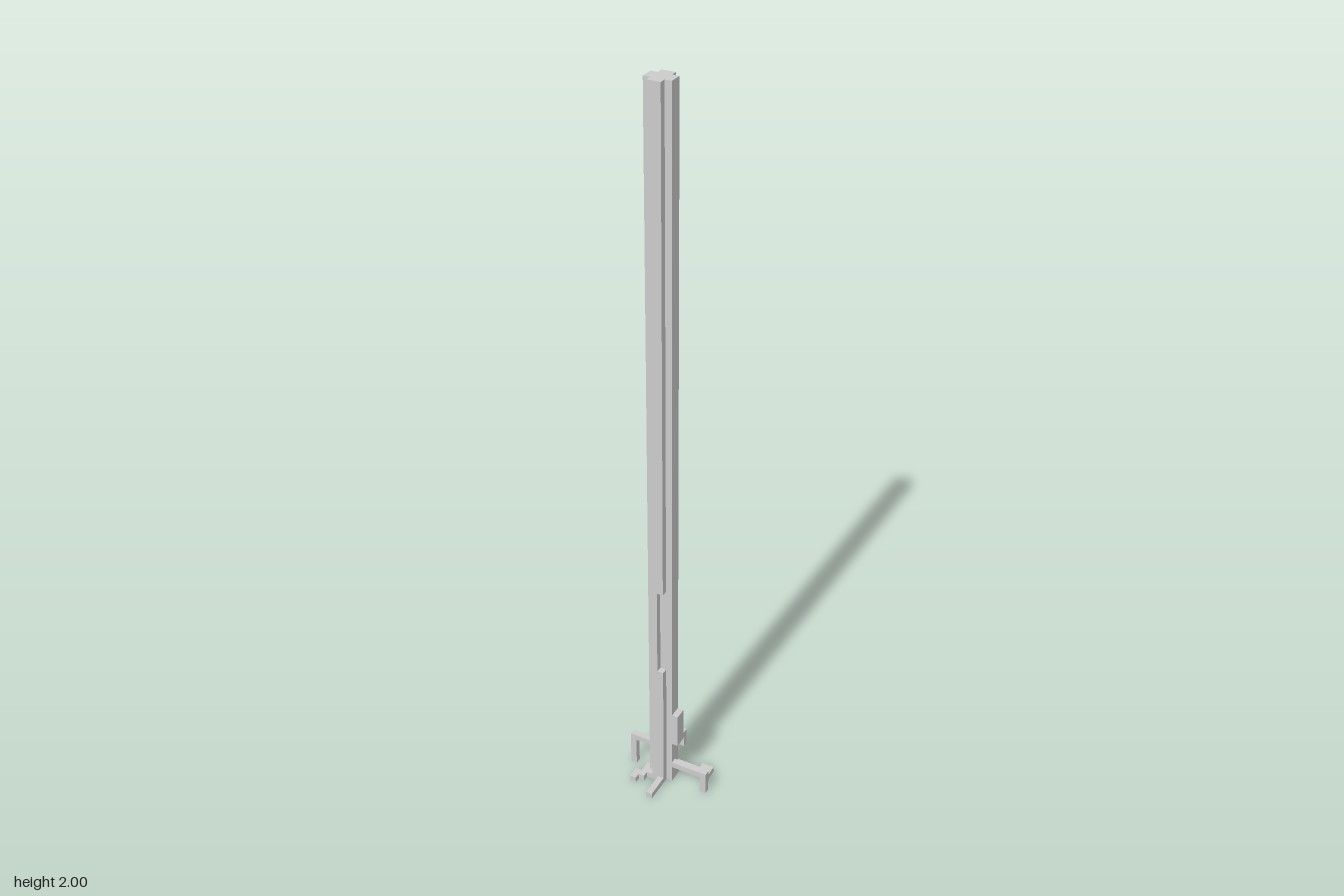
import * as THREE from 'three';

// Everything sits on a cubic grid: 116 cells make the full height.
const U = 2 / 116;

export function createModel() {
  const model = new THREE.Group();
  const material = new THREE.MeshStandardMaterial({ color: 0xcccccc, flatShading: true });

  // Box between two grid corners
  const block = (parent, name, [x0, x1], [y0, y1], [z0, z1]) => {
    const geometry = new THREE.BoxGeometry((x1 - x0) * U, (y1 - y0) * U, (z1 - z0) * U);
    const mesh = new THREE.Mesh(geometry, material);
    mesh.position.set((x0 + x1) / 2 * U, (y0 + y1) / 2 * U, (z0 + z1) / 2 * U);
    mesh.name = name;
    parent.add(mesh);
  };
  const group = (name) => {
    const g = new THREE.Group();
    g.name = name;
    model.add(g);
    return g;
  };

  // Trunk: plus-shaped column with a notch in its front ridge
  const trunk = group('trunk');
  block(trunk, 'trunkCore', [-3, 1], [0, 116], [0, 2]);
  block(trunk, 'backRidge', [-2, 0], [0, 116], [-1, 0]);
  block(trunk, 'frontRidge', [-2, -1], [0, 116], [2, 3]);
  block(trunk, 'frontRidgeLower', [-1, 0], [0, 23], [2, 3]);
  block(trunk, 'frontRidgeUpper', [-1, 0], [38, 116], [2, 3]);
  block(trunk, 'barkKnot', [1, 2], [8, 14], [0, 2]);

  // Arched roots: a level arm and a leg down to the ground
  const leftRoot = group('leftArchedRoot');
  block(leftRoot, 'arm', [1, 7], [3, 4], [1, 2]);
  block(leftRoot, 'leg', [6, 7], [0, 3], [1, 2]);

  const rightRoot = group('rightArchedRoot');
  block(rightRoot, 'arm', [-7, -3], [5, 6], [0, 1]);
  block(rightRoot, 'leg', [-7, -6], [0, 5], [0, 1]);

  const backRoot = group('backArchedRoot');
  block(backRoot, 'arm', [-2, -1], [2, 3], [-7, -1]);
  block(backRoot, 'leg', [-2, -1], [0, 2], [-7, -6]);

  // Flat roots lying on the ground, one cell high
  const flatRoots = group('flatRoots');
  const flat = [
    ['frontRoot', [-1, 0], [3, 7]],
    ['frontRightRoot', [-4, -3], [1, 4]],
    ['frontRightRootTip', [-5, -4], [3, 5]],
    ['frontRightCorner', [-3, -2], [2, 3]],
    ['backRightRoot', [-3, -2], [-2, 0]],
    ['backLeftRoot', [-2, 4], [-2, -1]],
    ['backLeftRootTip', [4, 6], [-3, -1]],
    ['backLeftCorner', [0, 1], [-1, 0]],
  ];
  for (const [name, x, z] of flat) block(flatRoots, name, x, [0, 1], z);

  return model;
}
